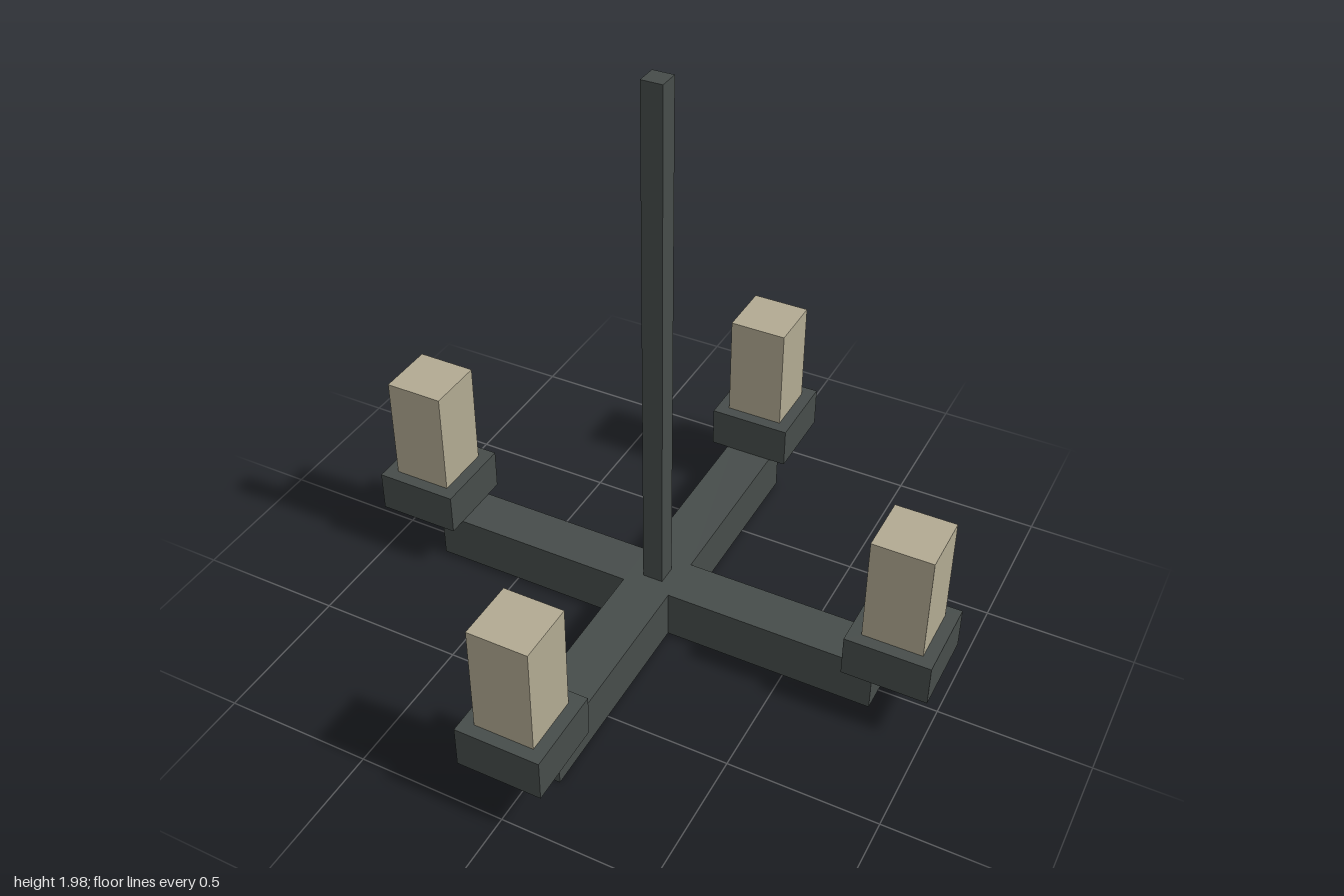
import * as THREE from 'three';

const iron = new THREE.MeshStandardMaterial({ color: 0x464c4a, flatShading: true });
const wax = new THREE.MeshStandardMaterial({ color: 0xb2aa92, flatShading: true });

// Square block of the given width, spanning y0 to y1
function block(name, width, y0, y1, material) {
  const mesh = new THREE.Mesh(new THREE.BoxGeometry(width, y1 - y0, width), material);
  mesh.position.y = (y0 + y1) / 2;
  mesh.name = name;
  return mesh;
}

export function createModel() {
  const model = new THREE.Group();
  model.name = 'chandelier';

  const beamTop = 0.172, cupTop = 0.316, candleTop = 0.688, rodTop = 1.975;
  const reach = 0.8, half = 0.083, cupCentre = 0.858;

  // Crossed beams as one plus-shaped outline: three corners per arm
  const outline = [];
  for (let i = 0; i < 4; i++) {
    const turn = (x, y) => new THREE.Vector2(x, y).rotateAround(new THREE.Vector2(), i * Math.PI / 2);
    outline.push(turn(reach, -half), turn(reach, half), turn(half, half));
  }
  const crossGeometry = new THREE.ExtrudeGeometry(new THREE.Shape(outline), { depth: beamTop, bevelEnabled: false });
  crossGeometry.rotateX(-Math.PI / 2);
  const cross = new THREE.Mesh(crossGeometry, iron);
  cross.name = 'crossBeams';
  model.add(cross);

  // Hanging rod
  model.add(block('hangingRod', 0.07, beamTop, rodTop, iron));

  // A cup and candle at the end of each arm
  ['left', 'back', 'right', 'front'].forEach((side, i) => {
    const holder = new THREE.Group();
    holder.name = side + 'CandleHolder';
    holder.add(block('cup', 0.284, beamTop, cupTop, iron));
    holder.add(block('candle', 0.2, cupTop, candleTop, wax));
    const angle = i * Math.PI / 2;
    holder.position.set(cupCentre * Math.cos(angle), 0, -cupCentre * Math.sin(angle));
    model.add(holder);
  });

  return model;
}
